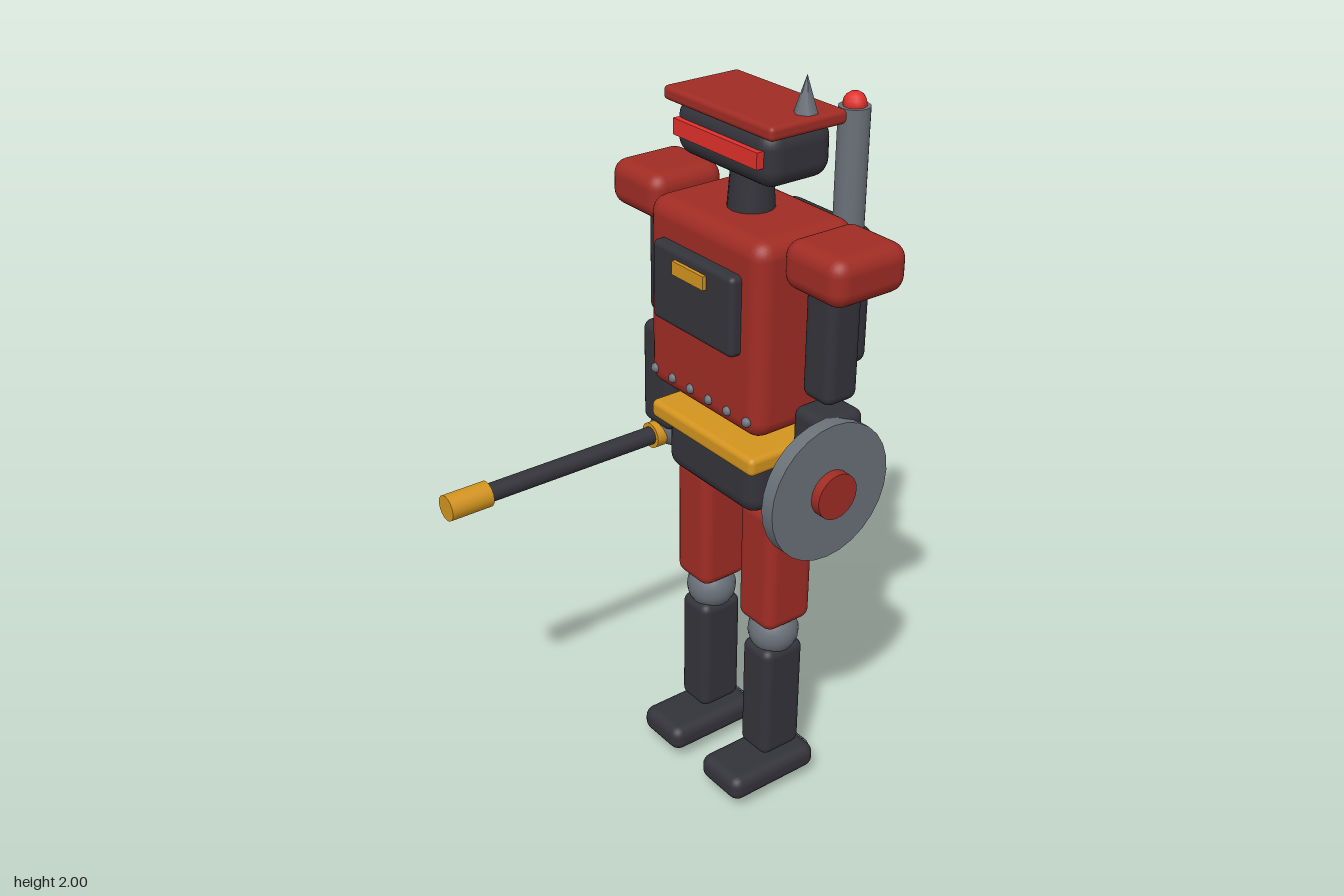
import * as THREE from 'three';
import { RoundedBoxGeometry } from 'three/addons/geometries/RoundedBoxGeometry.js';

const mat = (name, color) => {
  const m = new THREE.MeshStandardMaterial({ color });
  m.name = name;
  return m;
};

export function createModel() {
  const red = mat('armourRed', 0xa02c24);
  const dark = mat('darkMetal', 0x33333a);
  const steel = mat('steel', 0x6a7179);
  const gold = mat('gold', 0xd3941f);
  const glow = mat('signalRed', 0xe0302a);

  const model = new THREE.Group();
  model.name = 'robot';
  const Z = -0.22; // centre line of the body

  const add = (name, geometry, material, x, y, z, parent = model) => {
    const mesh = new THREE.Mesh(geometry, material);
    mesh.name = name;
    mesh.position.set(x, y, z);
    parent.add(mesh);
    return mesh;
  };
  const block = (name, material, size, pos, radius, parent) =>
    add(name, new RoundedBoxGeometry(...size, 3, radius), material, ...pos, parent);
  const ball = (name, material, r, pos, parent, w = 20, h = 14) =>
    add(name, new THREE.SphereGeometry(r, w, h), material, ...pos, parent);
  // Cylinder laid along the x or z axis, or standing along y
  const rod = (name, material, r, length, pos, axis = 'y', sides = 20, parent = model) => {
    const g = new THREE.CylinderGeometry(r, r, length, sides);
    if (axis === 'x') g.rotateZ(-Math.PI / 2);
    if (axis === 'z') g.rotateX(Math.PI / 2);
    return add(name, g, material, ...pos, parent);
  };

  // Head, visor, cap and antenna
  const head = new THREE.Group();
  head.name = 'head';
  model.add(head);
  block('skull', dark, [0.36, 0.14, 0.2], [0, 1.82, Z], 0.045, head);
  add('visor', new THREE.BoxGeometry(0.31, 0.04, 0.03), glow, 0, 1.825, -0.12, head);
  block('cap', red, [0.4, 0.035, 0.225], [0, 1.895, Z], 0.012, head);
  add('antenna', new THREE.ConeGeometry(0.03, 0.09, 6), steel, 0.16, 1.955, -0.24, head);
  add('neck', new THREE.CylinderGeometry(0.05, 0.06, 0.14, 16), dark, 0, 1.7, Z, head);

  // Torso with chest panel and rivets
  block('torso', red, [0.44, 0.505, 0.3], [0, 1.397, Z], 0.045);
  block('chestPanel', dark, [0.31, 0.205, 0.05], [0, 1.457, -0.065], 0.015);
  add('badge', new THREE.BoxGeometry(0.12, 0.035, 0.02), gold, 0, 1.518, -0.04);
  for (let i = 0; i < 6; i++) {
    ball('rivet', steel, 0.013, [(i - 2.5) * 0.073, 1.193, -0.071], model, 10, 8);
  }

  // Waist
  block('belt', gold, [0.41, 0.05, 0.3], [0, 1.07, Z], 0.015);
  block('pelvis', dark, [0.36, 0.18, 0.25], [0, 0.995, Z], 0.045);

  // Backpack with exhaust pipe and beacon
  block('backpack', dark, [0.3, 0.365, 0.13], [0, 1.397, -0.427], 0.03);
  rod('pipe', steel, 0.04, 0.36, [0.1, 1.695, -0.443], 'y', 12);
  ball('beacon', glow, 0.03, [0.1, 1.88, -0.443], model, 10, 8);

  // Limbs, one set for each side
  for (const s of [-1, 1]) {
    const side = s > 0 ? 'left' : 'right';
    const arm = new THREE.Group();
    arm.name = side + 'Arm';
    block('shoulderPad', red, [0.2, 0.12, 0.22], [s * 0.335, 1.61, Z], 0.04, arm);
    block('upperArm', dark, [0.1, 0.33, 0.1], [s * 0.305, 1.43, Z], 0.025, arm);
    block('forearm', dark, [0.12, 0.295, 0.13], [s * 0.305, 1.092, Z], 0.025, arm);
    ball('hand', steel, 0.064, [s * 0.305, 0.936, Z], arm);

    const leg = new THREE.Group();
    leg.name = side + 'Leg';
    block('thigh', red, [0.135, 0.36, 0.15], [s * 0.133, 0.725, Z], 0.03, leg);
    ball('knee', steel, 0.068, [s * 0.133, 0.505, Z], leg);
    block('shin', dark, [0.11, 0.345, 0.13], [s * 0.133, 0.298, Z], 0.025, leg);
    block('foot', dark, [0.162, 0.074, 0.285], [s * 0.133, 0.074, -0.18], 0.03, leg);
    rod('heelWheel', steel, 0.05, 0.046, [s * 0.132, 0.05, -0.298], 'x', 20, leg);
    model.add(arm, leg);
  }

  // Staff in the right hand
  const staff = new THREE.Group();
  staff.name = 'staff';
  model.add(staff);
  rod('shaft', dark, 0.025, 0.6, [-0.305, 0.92, 0.08], 'z', 16, staff);
  rod('tip', gold, 0.035, 0.12, [-0.305, 0.92, 0.43], 'z', 16, staff);
  rod('collar', gold, 0.036, 0.03, [-0.305, 0.92, -0.155], 'z', 16, staff);

  // Round shield on the left forearm
  rod('shield', steel, 0.18, 0.038, [0.365, 1.06, -0.167], 'x', 28);
  rod('shieldBoss', red, 0.06, 0.03, [0.395, 1.06, -0.167], 'x', 20);

  return model;
}
